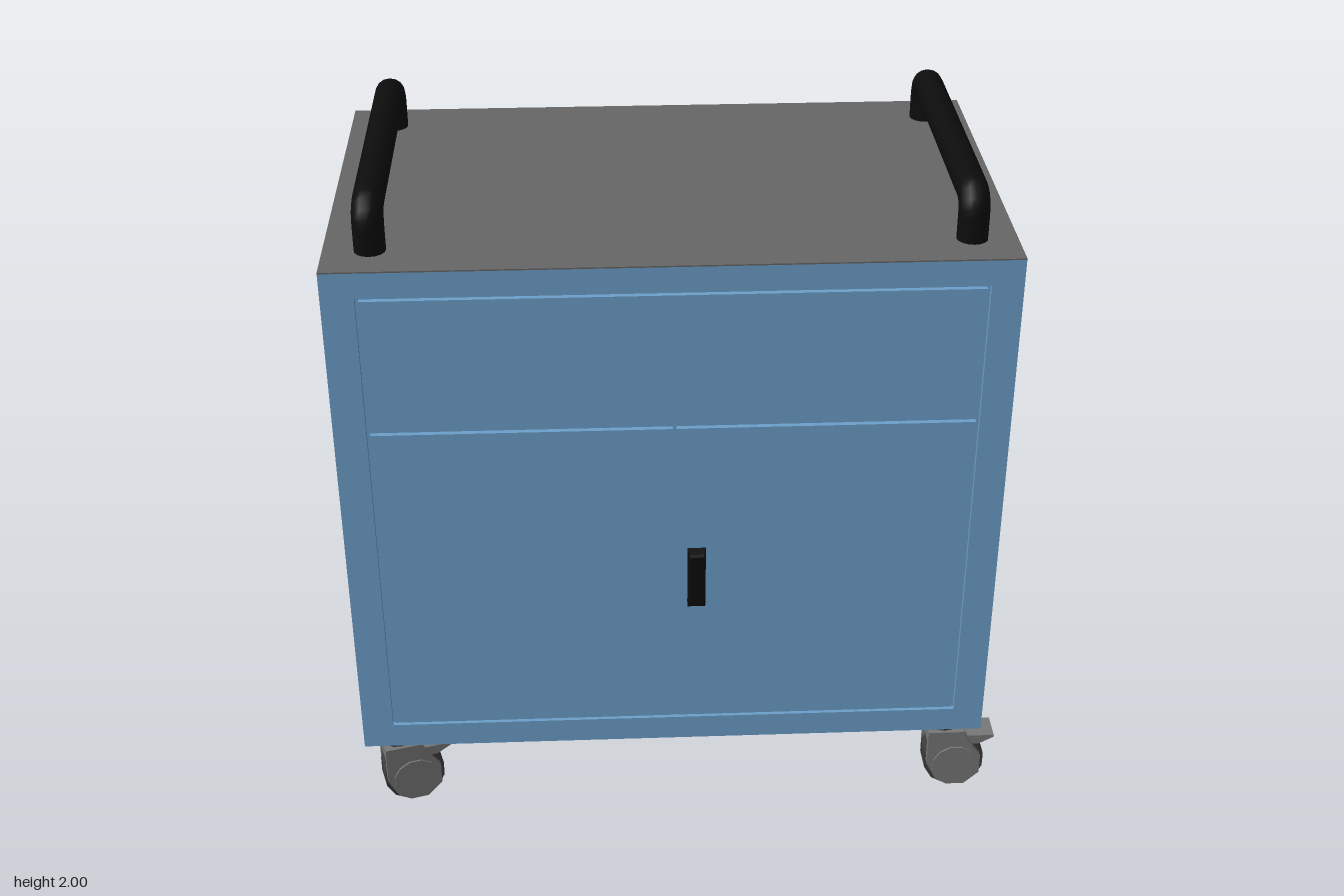
import * as THREE from 'three';

const mat = (color, extra = {}) => new THREE.MeshStandardMaterial({ color, ...extra });
const blue = mat(0x6c9fc9);
const black = mat(0x0c0c0c);
const grey = mat(0x666666);
const casterGrey = mat(0x777777, { flatShading: true });
const wheelGrey = mat(0x3c3c3c, { flatShading: true });

function add(parent, name, geometry, material, x = 0, y = 0, z = 0) {
  const mesh = new THREE.Mesh(geometry, material);
  mesh.name = name;
  mesh.position.set(x, y, z);
  parent.add(mesh);
  return mesh;
}

// Box given by its minimum and maximum corners
function span(parent, name, material, [x0, y0, z0], [x1, y1, z1]) {
  return add(parent, name, new THREE.BoxGeometry(x1 - x0, y1 - y0, z1 - z0), material,
    (x0 + x1) / 2, (y0 + y1) / 2, (z0 + z1) / 2);
}

const rect = (T, x0, y0, x1, y1) => new T([[x0, y0], [x1, y0], [x1, y1], [x0, y1]]
  .map(p => new THREE.Vector2(...p)));
const extrude = (shape, depth) => new THREE.ExtrudeGeometry(shape, { depth, bevelEnabled: false });

// Cabinet shell, front frame and the flush panels that leave narrow grooves
function createCabinet() {
  const g = new THREE.Group();
  g.name = 'cabinet';
  span(g, 'cabinetShell', blue, [-0.96, 0.255, -0.575], [0.9, 1.832, 0.53]);
  const frame = rect(THREE.Shape, -0.96, 0.255, 0.9, 1.832);
  frame.holes.push(rect(THREE.Path, -0.87, 0.333, 0.812, 1.758));
  add(g, 'frontFrame', extrude(frame, 0.015), blue, 0, 0, 0.53);
  span(g, 'drawerFront', blue, [-0.861, 1.349, 0.525], [0.803, 1.749, 0.545]);
  span(g, 'rightDoor', blue, [-0.861, 0.342, 0.525], [-0.034, 1.339, 0.545]);
  span(g, 'leftDoor', blue, [-0.024, 0.342, 0.525], [0.803, 1.339, 0.545]);
  span(g, 'topSheet', grey, [-0.96, 1.832, -0.575], [0.9, 1.836, 0.545]);

  // Door pull: wedge profile in z and y, narrowing away from the door
  const pull = new THREE.Shape([[0.54, 0.735], [0.56, 0.755], [0.575, 0.93], [0.57, 0.937], [0.54, 0.945]]
    .map(([z, y]) => new THREE.Vector2(z, y)));
  const geo = extrude(pull, 0.055).translate(0, 0, -0.0275).rotateY(-Math.PI / 2);
  const p = geo.attributes.position;
  for (let i = 0; i < p.count; i++) if (p.getZ(i) > 0.55) p.setX(i, p.getX(i) * 0.75);
  geo.computeVertexNormals();
  add(g, 'doorPull', geo, black, 0.033, 0, 0);
  return g;
}

// Push handle: a bent tube running front to back
function createHandleGeometry() {
  const v = (y, z) => new THREE.Vector3(0, y, z);
  const path = new THREE.CurvePath();
  const [front, back, top, bend] = [0.413, -0.448, 1.957, 0.055];
  path.add(new THREE.LineCurve3(v(1.82, front), v(top - bend, front)));
  path.add(new THREE.QuadraticBezierCurve3(v(top - bend, front), v(top, front), v(top, front - bend)));
  path.add(new THREE.LineCurve3(v(top, front - bend), v(top, back + bend)));
  path.add(new THREE.QuadraticBezierCurve3(v(top, back + bend), v(top, back), v(top - bend, back)));
  path.add(new THREE.LineCurve3(v(top - bend, back), v(1.82, back)));
  return new THREE.TubeGeometry(path, 64, 0.043, 16);
}

// Swivel caster; origin on the floor under its stem, wheel trailing towards +x
function createCaster() {
  const g = new THREE.Group();
  g.name = 'caster';
  add(g, 'stem', new THREE.CylinderGeometry(0.049, 0.049, 0.06, 12), wheelGrey, 0, 0.232, 0);

  const wheelX = 0.037;
  const disc = (name, r, width, z, material) => {
    const geo = new THREE.CylinderGeometry(r, r, width, 12).rotateX(Math.PI / 2).rotateZ(Math.PI / 12);
    return add(g, name, geo, material, wheelX, 0.09, z);
  };
  disc('wheel', 0.093, 0.08, 0, wheelGrey);

  // Fork cheeks on both sides, bridged by a hood
  const cheek = new THREE.Shape([[-0.05, 0.215], [-0.05, 0.095], [-0.02, 0.035], [0.015, 0.012],
    [0.07, 0.012], [0.115, 0.055], [0.115, 0.12], [0.08, 0.17], [0.06, 0.215]]
    .map(p => new THREE.Vector2(...p)));
  for (const s of [-1, 1]) {
    add(g, 'forkCheek', extrude(cheek, 0.018), casterGrey, 0, 0, s * 0.049 - 0.009);
    disc('hubCover', 0.07, 0.008, s * 0.0595, casterGrey);
  }
  span(g, 'hood', casterGrey, [-0.05, 0.17, -0.058], [0.06, 0.215, 0.058]);

  // Brake lever, tapering to its tip
  const lever = new THREE.Shape([[0.05, 0.18], [0.075, 0.155], [0.11, 0.155], [0.155, 0.18], [0.155, 0.187], [0.05, 0.187]]
    .map(p => new THREE.Vector2(...p)));
  add(g, 'brakeLever', extrude(lever, 0.084), casterGrey, 0, 0, -0.042);
  return g;
}

export function createModel() {
  const model = new THREE.Group();
  model.name = 'toolTrolley';
  model.add(createCabinet());

  const handle = createHandleGeometry();
  add(model, 'rightHandle', handle, black, -0.833);
  add(model, 'leftHandle', handle, black, 0.776);

  // Four casters; one is swivelled slightly
  for (const [x, z, turn] of [[-0.87, 0.455, 0.27], [0.8, 0.455, 0], [-0.87, -0.483, 0], [0.8, -0.483, 0]]) {
    const caster = createCaster();
    caster.position.set(x, 0, z);
    caster.rotation.y = turn;
    model.add(caster);
  }
  return model;
}
